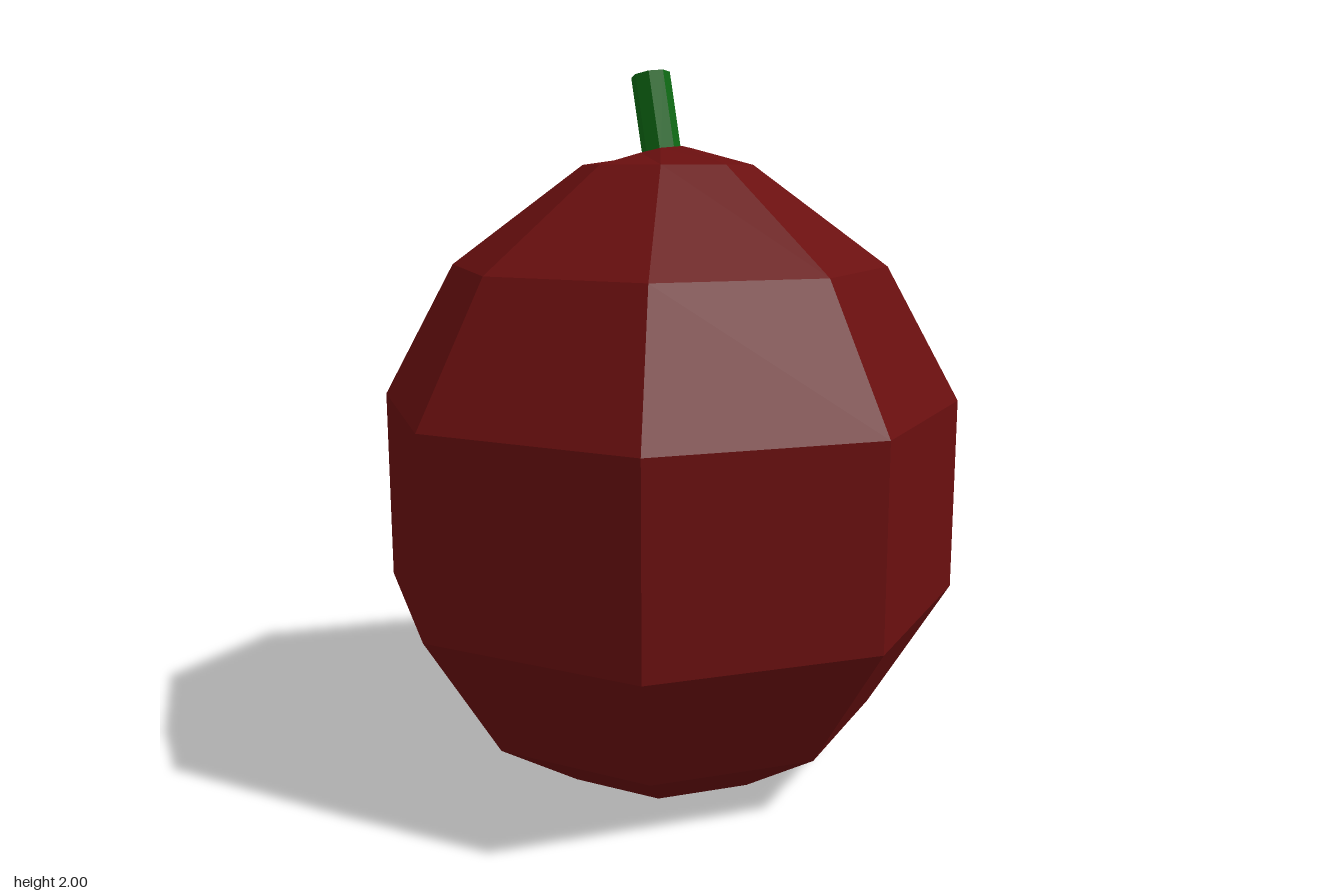
import * as THREE from 'three';

const TILT = 0.22; // backward lean of the stem and the rim around it

export function createModel() {
  const skin = new THREE.MeshStandardMaterial({ color: 0x6a0f0f, flatShading: true });
  skin.name = 'dark red skin';
  const green = new THREE.MeshStandardMaterial({ color: 0x0e6914, flatShading: true });
  green.name = 'green stem';

  const model = new THREE.Group();
  model.name = 'fruit';

  // Eight-sided body: profile of [radius, height] from the base to the dimple
  const profile = [
    [0, 0], [0.345, 0], [0.6, 0.165], [0.83, 0.53], [0.83, 1.08],
    [0.62, 1.46], [0.24, 1.74], [0.082, 1.773], [0.06, 1.76], [0, 1.76],
  ].map(([r, y]) => new THREE.Vector2(r, y));
  const bodyGeometry = new THREE.LatheGeometry(profile, 8);

  // Lean the rim and dimple with the stem
  const p = bodyGeometry.attributes.position;
  for (let i = 0; i < p.count; i++) {
    if (p.getY(i) < 1.75) continue;
    const z = p.getZ(i);
    p.setY(i, p.getY(i) + z * TILT);
    p.setZ(i, z - 0.02);
  }
  bodyGeometry.computeVertexNormals();
  const body = new THREE.Mesh(bodyGeometry, skin);
  body.name = 'body';
  model.add(body);

  // Stem, leaning backward
  const stemGeometry = new THREE.CylinderGeometry(0.055, 0.055, 0.24, 8);
  stemGeometry.translate(0, -0.12, 0);
  const stem = new THREE.Mesh(stemGeometry, green);
  stem.name = 'stem';
  stem.position.set(0, 1.988, -0.073);
  stem.rotation.x = -TILT;
  model.add(stem);

  return model;
}
